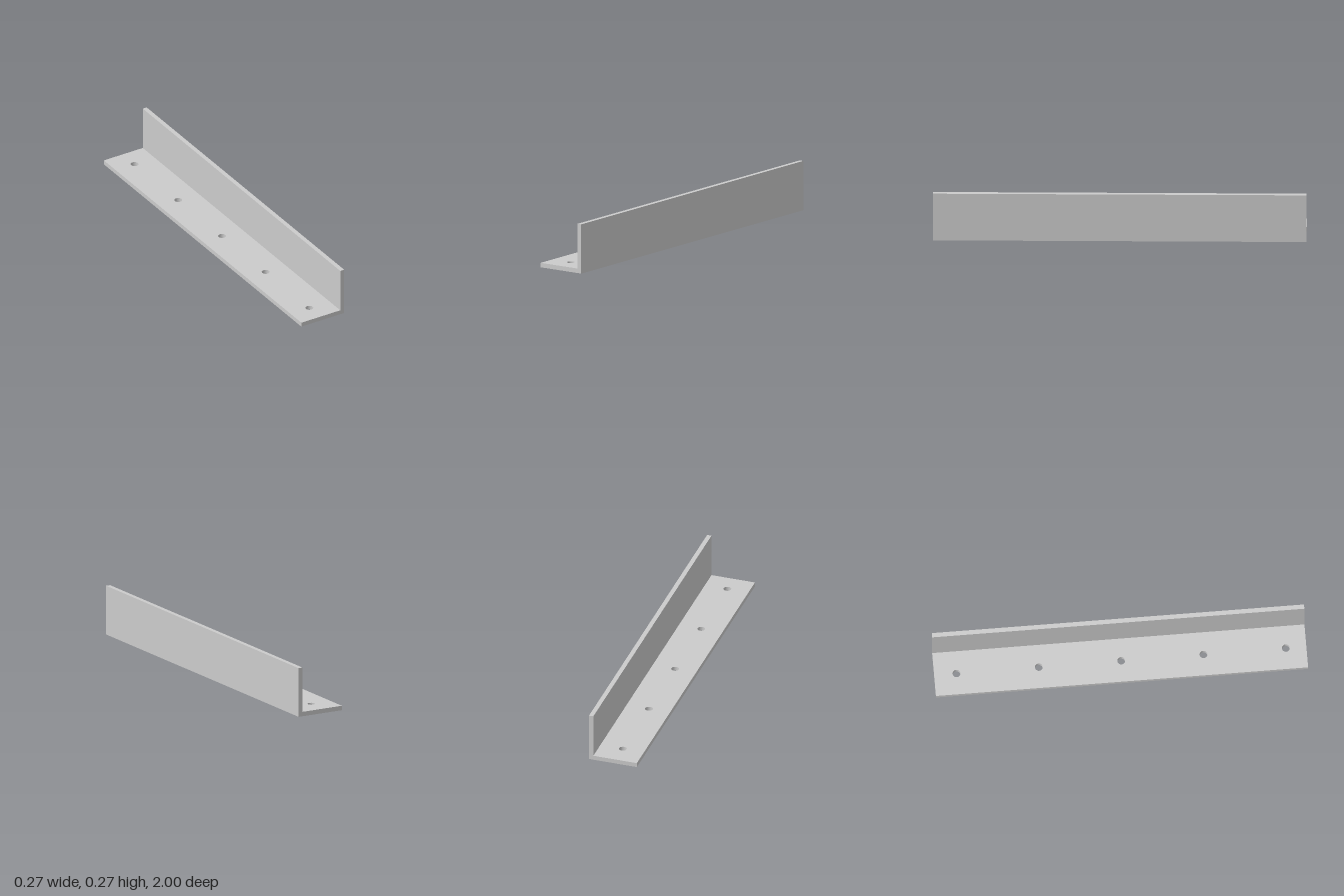
import * as THREE from 'three';

const LENGTH = 2, WIDTH = 0.27, HEIGHT = 0.27, THICK = 0.0245;
const HOLE = { radius: 0.021, x: -0.016, z: 0.005, pitch: 0.4425, count: 5 };

export function createModel() {
  const group = new THREE.Group();
  group.name = 'angleBracket';
  const material = new THREE.MeshStandardMaterial({ color: 0xcccccc });

  const add = (name, geometry) => {
    const mesh = new THREE.Mesh(geometry, material);
    mesh.name = name;
    group.add(mesh);
    return mesh;
  };

  // Horizontal leg: flat plate with a row of round bolt holes
  const w = WIDTH / 2, l = LENGTH / 2;
  const plate = new THREE.Shape([
    new THREE.Vector2(-w, -l), new THREE.Vector2(w, -l),
    new THREE.Vector2(w, l), new THREE.Vector2(-w, l),
  ]);
  for (let i = 0; i < HOLE.count; i++) {
    const z = HOLE.z + (i - (HOLE.count - 1) / 2) * HOLE.pitch;
    plate.holes.push(new THREE.Path().absarc(HOLE.x, -z, HOLE.radius, 0, Math.PI * 2, true));
  }
  const plateGeometry = new THREE.ExtrudeGeometry(plate, {
    depth: THICK, bevelEnabled: false, curveSegments: 32,
  });
  plateGeometry.rotateX(-Math.PI / 2);
  add('horizontalLeg', plateGeometry);

  // Vertical leg: plain plate standing on the left edge
  const upright = add('verticalLeg', new THREE.BoxGeometry(THICK, HEIGHT - THICK, LENGTH));
  upright.position.set(w - THICK / 2, (HEIGHT + THICK) / 2, 0);

  return group;
}
